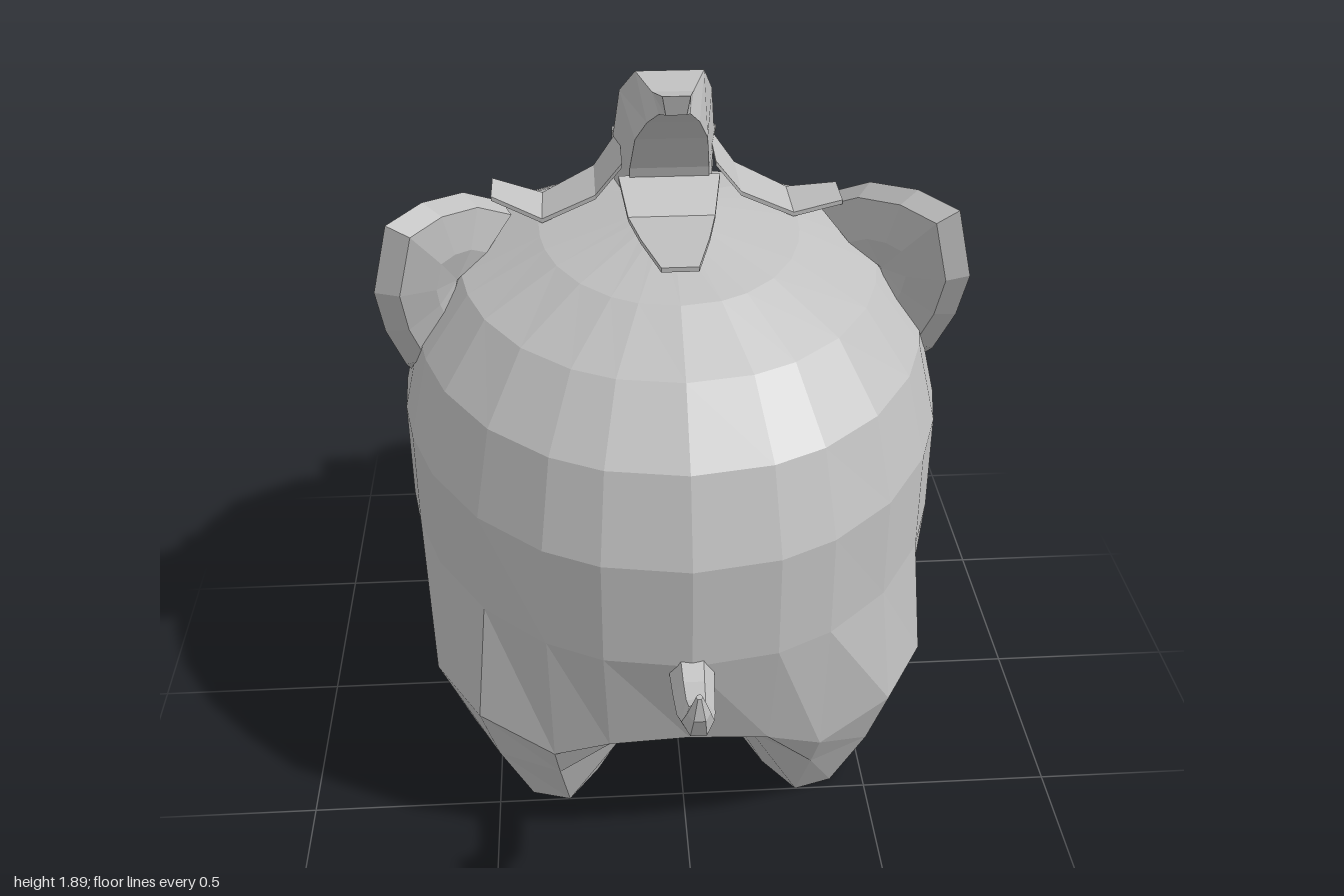
import * as THREE from 'three';

const V = (x, y, z) => new THREE.Vector3(x, y, z);

// Closed flat-shaded skin over rings of equal point count; ends are fanned shut.
function loft(name, rings, material) {
  const tris = [];
  const n = rings[0].length;
  for (let r = 0; r < rings.length - 1; r++) {
    for (let i = 0; i < n; i++) {
      const j = (i + 1) % n;
      const [a, b, c, d] = [rings[r][i], rings[r][j], rings[r + 1][j], rings[r + 1][i]];
      tris.push([a, b, c], [a, c, d]);
    }
  }
  const fan = (ring, flip) => {
    const mid = V(0, 0, 0);
    ring.forEach(p => mid.addScaledVector(p, 1 / n));
    ring.forEach((p, i) => {
      const q = ring[(i + 1) % n];
      tris.push(flip ? [mid, q, p] : [mid, p, q]);
    });
  };
  fan(rings[0], true);
  fan(rings[rings.length - 1], false);
  // Turn the skin outward whichever way the rings run
  let volume = 0;
  for (const [a, b, c] of tris) volume += a.dot(b.clone().cross(c));
  const points = tris.flatMap(([a, b, c]) => (volume < 0 ? [a, c, b] : [a, b, c]));
  const geometry = new THREE.BufferGeometry().setFromPoints(points);
  geometry.computeVertexNormals();
  const mesh = new THREE.Mesh(geometry, material);
  mesh.name = name;
  return mesh;
}

const circle = (n, fn) => Array.from({ length: n }, (_, i) => fn((i / n) * Math.PI * 2));

const mirrorRings = (rings, s) => rings.map(r => r.map(p => V(p.x * s, p.y, p.z)));

// Underside of one quarter, from mid side to mid end. Each column runs
// hem, leg middle, foot outside, foot inside, belly.
const quarter = [
  [[0.67, 0.43, 0], [0.6, 0.34, 0], [0.5, 0.25, 0], [0.35, 0.15, 0], [0.19, 0.09, 0]],
  [[0.665, 0.42, 0.15], [0.58, 0.33, 0.15], [0.48, 0.24, 0.15], [0.33, 0.15, 0.14], [0.2, 0.09, 0.1]],
  [[0.65, 0.37, 0.36], [0.565, 0.2, 0.38], [0.46, 0, 0.38], [0.39, 0, 0.3], [0.19, 0.1, 0.17]],
  [[0.53, 0.38, 0.57], [0.49, 0.2, 0.52], [0.41, 0, 0.47], [0.27, 0, 0.3], [0.17, 0.1, 0.2]],
  [[0.34, 0.32, 0.66], [0.33, 0.2, 0.6], [0.31, 0, 0.5], [0.23, 0, 0.39], [0.15, 0.1, 0.22]],
  [[0.2, 0.385, 0.7], [0.17, 0.31, 0.6], [0.15, 0.23, 0.49], [0.13, 0.14, 0.35], [0.1, 0.09, 0.24]],
  [[0, 0.41, 0.715], [0, 0.33, 0.61], [0, 0.24, 0.49], [0, 0.15, 0.36], [0, 0.08, 0.25]],
];

// Body and legs in one skin; upper rows are [y, halfWidth, tailZ, snoutZ]
function bodyRings() {
  const place = (from, to, sx, sz) => {
    const step = from < to ? 1 : -1;
    return Array.from({ length: Math.abs(to - from) + 1 }, (_, i) =>
      quarter[from + i * step].map(([x, y, z]) => V(x * sx, y, z * sz)));
  };
  const columns = [
    ...place(0, 6, 1, 1), ...place(5, 0, -1, 1), ...place(1, 6, -1, -0.97), ...place(5, 1, 1, -0.97),
  ];
  const lower = [4, 3, 2, 1, 0].map(k => columns.map(c => c[k]));
  const bellyCap = lower[0].map(p => V(p.x * 0.5, 0.06, p.z * 0.5));
  const upper = [
    [0.7, 0.72, 0.785, -0.78], [0.97, 0.72, 0.775, -0.78], [1.18, 0.67, 0.69, -0.74],
    [1.33, 0.55, 0.53, -0.65], [1.43, 0.34, 0.34, -0.47], [1.49, 0.1, 0.08, -0.22],
  ].map(([y, w, zt, zs]) => {
    const zc = zt * 0.4 + zs * 0.6;
    return columns.map(([hem]) => {
      // Rounder at the tail end, squarer at the snout end
      const x = hem.x / 0.72, z = (hem.z + 0.15) / (hem.z > -0.15 ? 0.93 : 0.63);
      const e = z > 0 ? 2.06 : 2.9;
      const k = (Math.abs(x) ** e + Math.abs(z) ** e) ** (-1 / e);
      return V(x * k * w, y, zc + z * k * (z > 0 ? zt - zc : zc - zs));
    });
  });
  return [bellyCap, ...lower, ...upper];
}

// Tapered, curved horn with a faceted section
function hornRings(points, radii, sides, side) {
  const curve = new THREE.CatmullRomCurve3(points);
  const steps = radii.length - 1;
  return radii.map((r, k) => {
    const p = curve.getPoint(k / steps);
    const t = curve.getTangent(k / steps);
    const u = side.clone().addScaledVector(t, -side.dot(t)).normalize();
    const w = t.clone().cross(u);
    return circle(sides, a => p.clone().addScaledVector(u, r * Math.cos(a)).addScaledVector(w, r * Math.sin(a)));
  });
}

// Thin leaf: each station is [centre, edge offset]
function leafRings(stations) {
  const t = V(0, 0.006, 0);
  return stations.map(([c, e]) => [
    c.clone().add(e).add(t), c.clone().sub(e).add(t),
    c.clone().sub(e).sub(t), c.clone().add(e).sub(t),
  ]);
}

export function createModel() {
  const model = new THREE.Group();
  const clay = new THREE.MeshStandardMaterial({ color: 0xc0c0c0 });
  clay.name = 'clay grey';
  clay.flatShading = true;
  const add = (name, rings) => model.add(loft(name, rings, clay));

  add('bodyAndLegs', bodyRings());

  // Snout: rounded on top, flat below [z, halfWidth, top, bottom]
  const snoutRows = [
    [-0.72, 0.37, 1.08, 0.46], [-0.78, 0.375, 1.09, 0.46], [-0.9, 0.375, 1.125, 0.43],
    [-0.97, 0.35, 1.07, 0.47], [-0.99, 0.29, 0.99, 0.53], [-1.0, 0.17, 0.89, 0.61],
  ];
  add('snout', snoutRows.map(([z, w, top, bottom]) => {
    const yc = bottom + (top - bottom) * 0.42;
    return circle(16, a => {
      const c = Math.cos(a), s = Math.sin(a);
      if (s >= 0) return V(w * c, yc + (top - yc) * s, z);
      return V(w * Math.sign(c) * Math.abs(c) ** 0.6, yc - (yc - bottom) * Math.abs(s) ** 0.65, z);
    });
  }));

  // Tusks
  const tusk = hornRings(
    [V(0.41, 0.47, -0.64), V(0.45, 0.44, -0.74), V(0.5, 0.5, -0.85), V(0.515, 0.6, -0.9), V(0.5, 0.72, -0.915)],
    [0.1, 0.1, 0.085, 0.065, 0.045, 0.008], 6, V(1, 0, 0));
  for (const s of [1, -1]) add('tusk', mirrorRings(tusk, s));

  // Tail
  add('tail', hornRings(
    [V(0, 0.67, 0.76), V(0, 0.65, 0.84), V(0, 0.665, 0.93), V(0, 0.72, 0.975), V(0, 0.785, 0.985)],
    [0.055, 0.05, 0.045, 0.038, 0.027, 0.008], 6, V(1, 0, 0)));

  // Ears: a rim with a shallow outward hollow and a rounded back
  const rim = [
    V(0.7, 1.1, 0.0), V(0.735, 1.24, 0.07), V(0.745, 1.38, 0.13), V(0.7, 1.565, 0.14),
    V(0.62, 1.57, 0.02), V(0.53, 1.52, -0.15), V(0.44, 1.43, -0.29), V(0.49, 1.34, -0.45),
    V(0.64, 1.17, -0.34), V(0.695, 1.03, -0.09),
  ];
  const mid = V(0.635, 1.32, -0.08);
  const inset = (k, shift) => rim.map(p => mid.clone().lerp(p, k).add(shift));
  const ear = [
    inset(0.4, V(0.01, 0, -0.02)), inset(0.82, V(0.01, 0, -0.015)),
    rim, inset(0.88, V(-0.05, 0, 0.035)), inset(0.4, V(-0.08, 0, 0.05)),
  ];
  for (const s of [1, -1]) add('ear', mirrorRings(ear, s));

  // Curved stem on top [upper z, y, lower z, y, halfWidth]
  const stemRows = [
    [-0.42, 1.45, -0.12, 1.46, 0.14], [-0.34, 1.6, -0.09, 1.6, 0.135],
    [-0.25, 1.75, -0.01, 1.71, 0.12], [-0.08, 1.86, 0.06, 1.78, 0.085],
    [0.04, 1.85, 0.11, 1.82, 0.05], [0.18, 1.89, 0.17, 1.84, 0.033],
  ];
  add('stem', stemRows.map(([z1, y1, z2, y2, w]) =>
    [V(w, y1, z1), V(-w, y1, z1), V(-w * 0.75, y2, z2), V(w * 0.75, y2, z2)]));

  // Leaves around the stem
  add('tailEndLeaf', leafRings([
    [V(0, 1.57, -0.1), V(0.13, 0, 0)], [V(0, 1.5, 0), V(0.11, 0, 0)],
    [V(0, 1.505, 0.14), V(0.085, 0, 0)], [V(0, 1.518, 0.325), V(0.045, 0, 0)],
  ]));
  add('snoutEndLeaf', leafRings([
    [V(0, 1.61, -0.34), V(0.14, 0, 0)], [V(0, 1.48, -0.46), V(0.135, 0, 0)],
    [V(-0.03, 1.375, -0.61), V(0.105, 0, 0)], [V(-0.07, 1.385, -0.76), V(0.07, 0, -0.008)],
  ]));
  for (const [s, tipY] of [[1, 1.465], [-1, 1.5]]) {
    add('sideLeaf', mirrorRings(leafRings([
      [V(0.12, 1.6, -0.23), V(0, 0, 0.12)], [V(0.19, 1.505, -0.23), V(0, 0, 0.1)],
      [V(0.33, 1.44, -0.22), V(0, 0, 0.085)], [V(0.46, tipY, -0.21), V(0, 0, 0.06)],
    ]), s));
  }

  return model;
}
